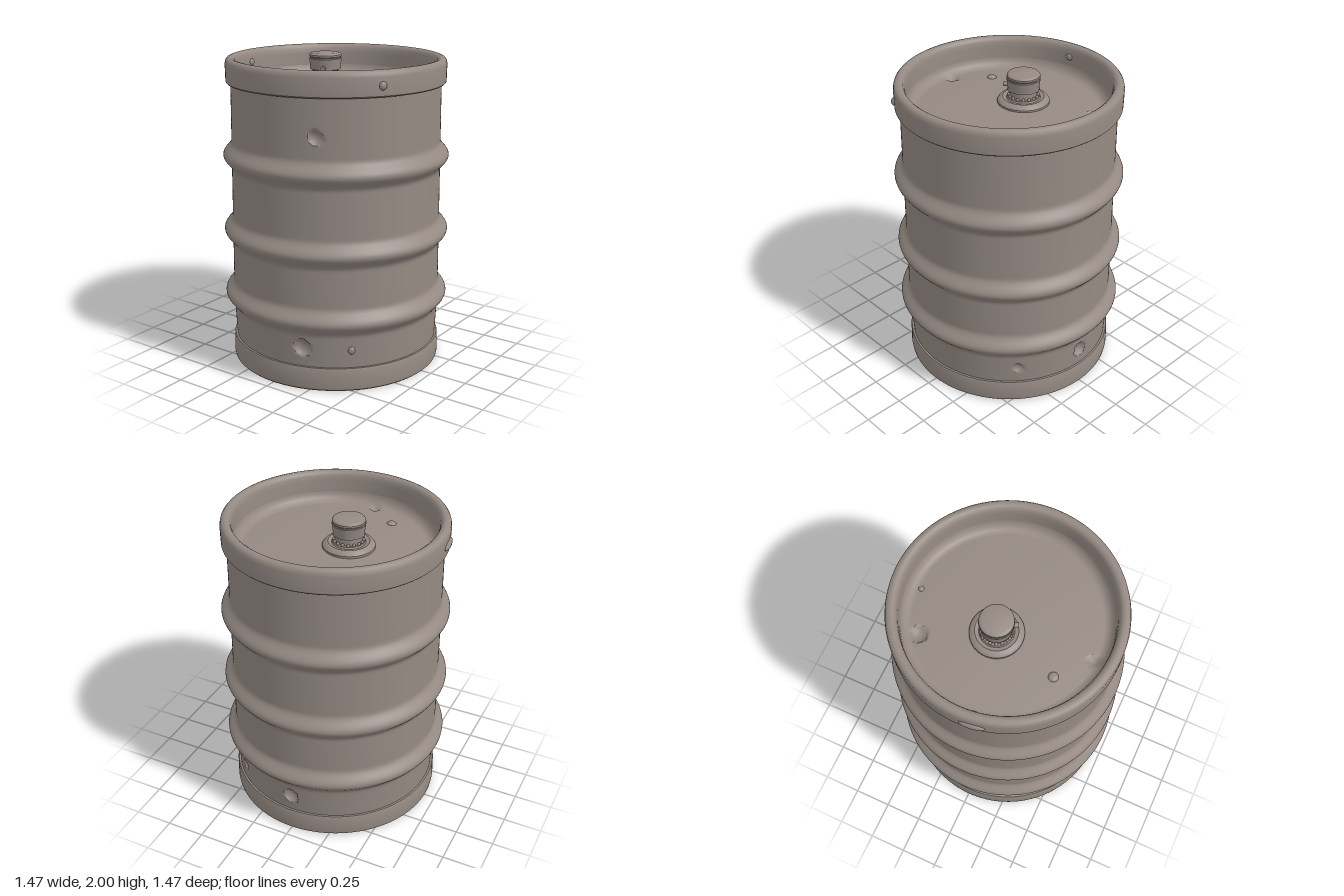
import * as THREE from 'three';
import { mergeVertices, toCreasedNormals } from 'three/addons/utils/BufferGeometryUtils.js';

const steel = new THREE.MeshStandardMaterial({ color: 0x958a83 });
steel.name = 'brushedSteel';

// Dents: position, radius, depth
const bodyDents = [
  [0.675, 0.27, 0.0, 0.05, 0.035],
  [0.53, 0.265, 0.42, 0.034, 0.022],
  [-0.645, 0.28, 0.2, 0.055, 0.035],
  [-0.61, 1.6, 0.285, 0.045, 0.03],
];
const lidDents = [
  [0.435, 1.8, -0.29, 0.052, 0.035],
  [-0.55, 1.8, -0.02, 0.036, 0.022],
];

function dentDepth(p, dents) {
  let depth = 0;
  for (const [x, y, z, r, h] of dents) {
    const t = p.distanceTo(new THREE.Vector3(x, y, z)) / r;
    if (t < 1) depth += h * Math.sqrt(1 - t * t);
  }
  return depth;
}

// Revolved part with crisp edges and an optional per-vertex rule
function revolve(name, profile, segments, deform, crease = 0.6) {
  let geo = new THREE.LatheGeometry(profile.map(([r, y]) => new THREE.Vector2(r, y)), segments);
  const pos = geo.attributes.position;
  const p = new THREE.Vector3();
  if (deform) {
    for (let i = 0; i < pos.count; i++) {
      deform(p.fromBufferAttribute(pos, i));
      pos.setXYZ(i, p.x, p.y, p.z);
    }
  }
  geo.deleteAttribute('uv');
  geo.deleteAttribute('normal');
  geo = toCreasedNormals(mergeVertices(geo, 1e-5), crease);
  const mesh = new THREE.Mesh(geo, steel);
  mesh.name = name;
  return mesh;
}

// Flattened ball, used for rivets and raised marks
function stud(name, x, y, z, sx, sy, sz, turn = 0) {
  const mesh = new THREE.Mesh(new THREE.SphereGeometry(1, 24, 16), steel);
  mesh.name = name;
  mesh.position.set(x, y, z);
  mesh.scale.set(sx, sy, sz);
  mesh.rotation.y = turn;
  return mesh;
}

export function createModel() {
  const keg = new THREE.Group();
  keg.name = 'keg';

  // Barrel wall with three rolled ribs
  const wall = [];
  for (let i = 0; i <= 136; i++) {
    const y = 0.14 + i * 0.0125;
    let r = 0.679 - 0.009 * Math.max(0, y - 0.6);
    if (y < 0.38) r -= 0.05 * (0.38 - y);
    for (const c of [0.45, 0.88, 1.37]) {
      const t = (y - c) / 0.095;
      if (Math.abs(t) < 1) r += 0.027 * (1 + Math.cos(Math.PI * t));
    }
    wall.push([r, y]);
  }
  keg.add(revolve('barrelWall', wall, 256, (p) => {
    const d = dentDepth(p, bodyDents);
    const k = 1 - d / Math.hypot(p.x, p.z);
    p.x *= k;
    p.z *= k;
  }, 0.9));

  // Rolled top rim with inner wall
  keg.add(revolve('topRim', [
    [0.655, 1.835], [0.69, 1.832], [0.698, 1.84], [0.7, 1.95], [0.695, 1.972], [0.685, 1.984],
    [0.668, 1.99], [0.652, 1.987], [0.639, 1.977], [0.632, 1.96], [0.628, 1.93], [0.626, 1.83],
  ], 128));

  // Lid: fillet down from the rim, then a gentle dome
  const lid = [[0.628, 1.86], [0.624, 1.835], [0.612, 1.813], [0.595, 1.798], [0.575, 1.79]];
  for (let i = 1; i <= 42; i++) {
    const r = 0.575 * (1 - i / 42);
    lid.push([r, 1.79 + 0.022 * (1 - (r / 0.575) ** 2)]);
  }
  keg.add(revolve('lid', lid, 200, (p) => { p.y -= dentDepth(p, lidDents); }, 0.9));

  // Foot ring, open below
  keg.add(revolve('footRing', [
    [0.648, 0.12], [0.648, 0.03], [0.654, 0.01], [0.664, 0.002], [0.676, 0.002], [0.684, 0.01],
    [0.687, 0.03], [0.685, 0.14], [0.68, 0.153], [0.655, 0.155],
  ], 128));

  // Recessed bottom plate
  const bottom = [];
  for (let i = 0; i <= 12; i++) {
    const r = 0.65 * i / 12;
    bottom.push([r, 0.1 + 0.06 * (1 - (r / 0.65) ** 2)]);
  }
  keg.add(revolve('bottomPlate', bottom, 96));

  // Filling valve on the lid
  const valve = new THREE.Group();
  valve.name = 'valve';
  valve.position.set(0.025, 0, -0.1);
  valve.add(revolve('valveFlange', [
    [0.15, 1.79], [0.162, 1.8], [0.162, 1.822], [0.15, 1.838], [0.128, 1.846], [0.118, 1.84],
    [0.105, 1.84], [0.1, 1.85], [0.08, 1.85],
  ], 64));
  valve.add(revolve('valveNeck', [[0.084, 1.8], [0.084, 1.89], [0.1, 1.898], [0.1, 1.91]], 64));
  valve.add(revolve('valveCap', [
    [0.08, 1.895], [0.095, 1.896], [0.104, 1.965], [0.1, 1.969], [0.1, 1.974], [0.103, 1.978],
    [0.102, 1.989], [0.095, 1.997], [0.085, 2], [0, 2],
  ], 64));
  // Neck teeth
  for (let i = 0; i < 16; i++) {
    const a = i / 16 * Math.PI * 2;
    valve.add(stud('neckTooth', 0.09 * Math.cos(a), 1.855, 0.09 * Math.sin(a), 0.01, 0.012, 0.01));
  }
  // Locking pin
  const pin = new THREE.Mesh(new THREE.CylinderGeometry(0.015, 0.015, 0.05, 20), steel);
  pin.name = 'lockingPin';
  pin.position.set(-0.09, 1.91, 0.048);
  pin.rotation.set(0, Math.atan2(0.048, 0.09), Math.PI / 2);
  valve.add(pin);
  keg.add(valve);

  // Rivets on lid, wall and rim
  keg.add(stud('lidStud', -0.38, 1.797, -0.21, 0.031, 0.018, 0.031));
  keg.add(stud('smallLidStud', 0.55, 1.79, -0.025, 0.018, 0.012, 0.018));
  keg.add(stud('wallStud', -0.487, 0.27, 0.462, 0.022, 0.026, 0.016, -0.81));
  keg.add(stud('rimStud', -0.372, 1.9, 0.592, 0.024, 0.026, 0.018, -0.56));
  keg.add(stud('innerRimStud', -0.085, 1.91, -0.622, 0.025, 0.022, 0.012));
  keg.add(stud('rimBackMark', -0.095, 1.9, -0.69, 0.078, 0.028, 0.02, 0.137));

  // Slightly off-centre shell
  for (const part of keg.children) {
    part.position.x -= 0.004;
    part.position.z += 0.004;
  }
  return keg;
}
